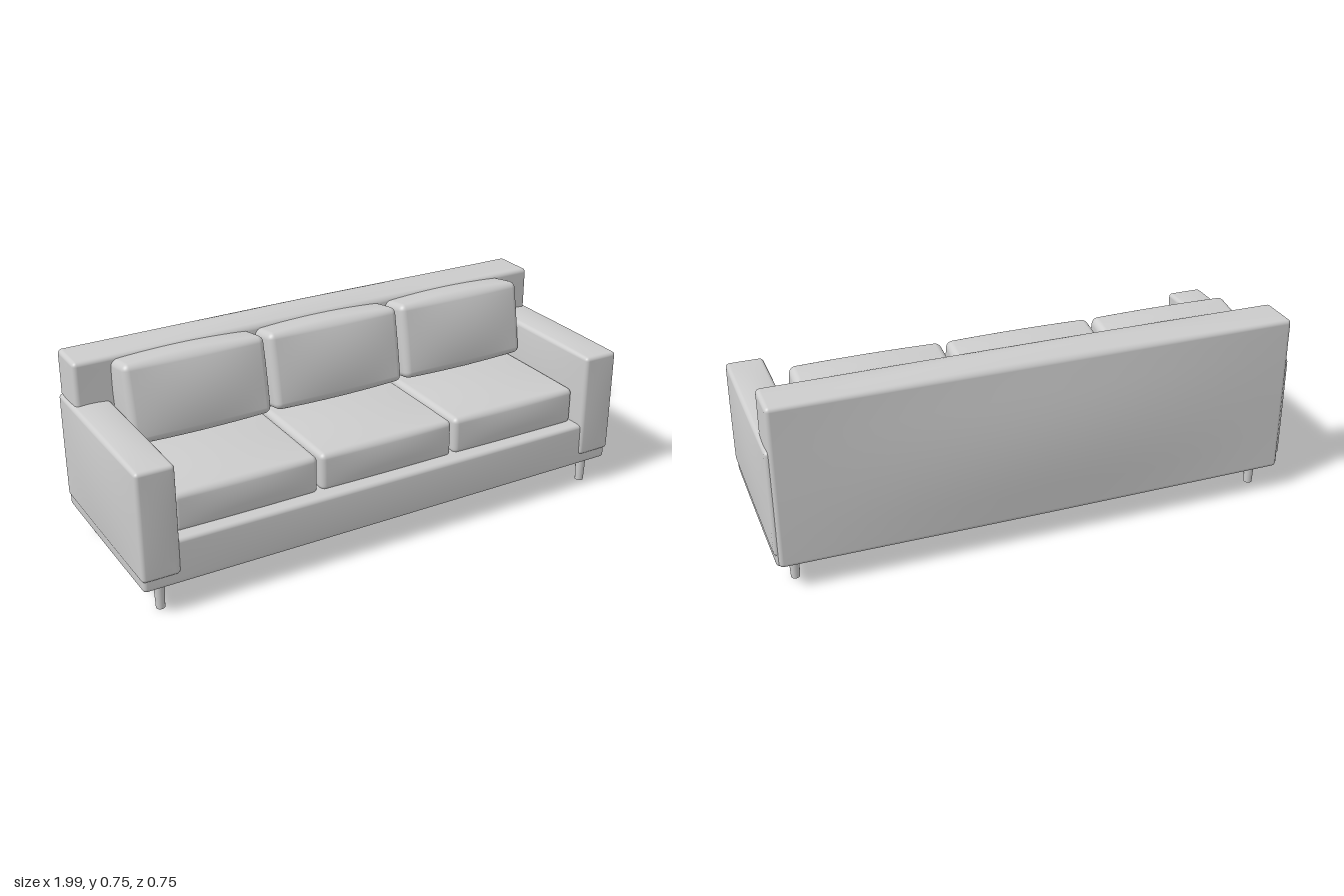
import * as THREE from 'three';
import { mergeVertices } from 'three/addons/utils/BufferGeometryUtils.js';

const ARC = 4;    // segments over half of a rounded edge
const INNER = 12; // segments over the flat part of a face

// Places grid line t (-1..1) so that rounded edges get even arcs
function gridLine(t, half, r) {
  const n = INNER + 2 * ARC;
  const i = Math.round(((t + 1) / 2) * n) - n / 2;
  const over = Math.abs(i) - INNER / 2;
  const flat = half - r;
  if (over <= 0) return (i / (INNER / 2)) * flat;
  return Math.sign(i) * (flat + r * Math.tan((over / ARC) * Math.PI / 4));
}

// Rounded box whose faces swell outward in the middle by bulge [x, y, z]
function softBox([w, h, d], r, bulge, power = 1) {
  const n = INNER + 2 * ARC;
  const geo = new THREE.BoxGeometry(2, 2, 2, n, n, n);
  const half = new THREE.Vector3(w / 2, h / 2, d / 2);
  const core = half.clone().subScalar(r);
  const pos = geo.attributes.position;
  const p = new THREE.Vector3(), c = new THREE.Vector3();
  const swell = (u, v) => Math.pow(Math.max(0, (1 - u * u) * (1 - v * v)), power);
  for (let i = 0; i < pos.count; i++) {
    p.fromBufferAttribute(pos, i);
    p.set(gridLine(p.x, half.x, r), gridLine(p.y, half.y, r), gridLine(p.z, half.z, r));
    c.copy(p).clamp(core.clone().negate(), core);
    p.sub(c).setLength(r).add(c);
    const u = p.x / half.x, v = p.y / half.y, q = p.z / half.z;
    pos.setXYZ(i,
      p.x + bulge[0] * u * swell(v, q),
      p.y + bulge[1] * v * swell(u, q),
      p.z + bulge[2] * q * swell(u, v));
  }
  geo.deleteAttribute('uv');
  geo.deleteAttribute('normal');
  const smooth = mergeVertices(geo, 1e-5);
  smooth.computeVertexNormals();
  return smooth;
}

export function createModel() {
  const sofa = new THREE.Group();
  sofa.name = 'sofa';
  const fabric = new THREE.MeshStandardMaterial({ color: 0xcccccc });
  fabric.name = 'light grey';

  function add(name, geometry, x, y, z) {
    const mesh = new THREE.Mesh(geometry, fabric);
    mesh.name = name;
    mesh.position.set(x, y, z);
    sofa.add(mesh);
    return mesh;
  }

  // Base and tall backrest
  add('base', softBox([1.955, 0.17, 0.705], 0.014, [0.004, 0.012, 0.004]), 0, 0.187, 0.01);
  add('backrest', softBox([1.94, 0.62, 0.165], 0.016, [0.005, 0.024, 0.022], 1.4), 0, 0.411, -0.271);

  // Arms
  const armGeo = softBox([0.14, 0.41, 0.712], 0.014, [0.012, 0.008, 0.004]);
  for (const side of [-1, 1]) add(side > 0 ? 'leftArm' : 'rightArm', armGeo, side * 0.913, 0.35, 0.015);

  // Three seat cushions with leaning back cushions
  const seatGeo = softBox([0.548, 0.145, 0.51], 0.02, [0.005, 0.014, 0.009]);
  const backGeo = softBox([0.542, 0.29, 0.16], 0.024, [0.005, 0.014, 0.02]);
  for (const i of [-1, 0, 1]) {
    add('seatCushion', seatGeo, i * 0.561, 0.338, 0.057);
    add('backCushion', backGeo, i * 0.561, 0.571, -0.126).rotation.x = -0.18;
  }

  // Tapered legs
  const legGeo = new THREE.CylinderGeometry(0.02, 0.016, 0.11, 24);
  for (const x of [-0.904, 0.904]) {
    for (const z of [0.312, -0.265]) add('leg', legGeo, x, 0.055, z);
  }
  return sofa;
}
